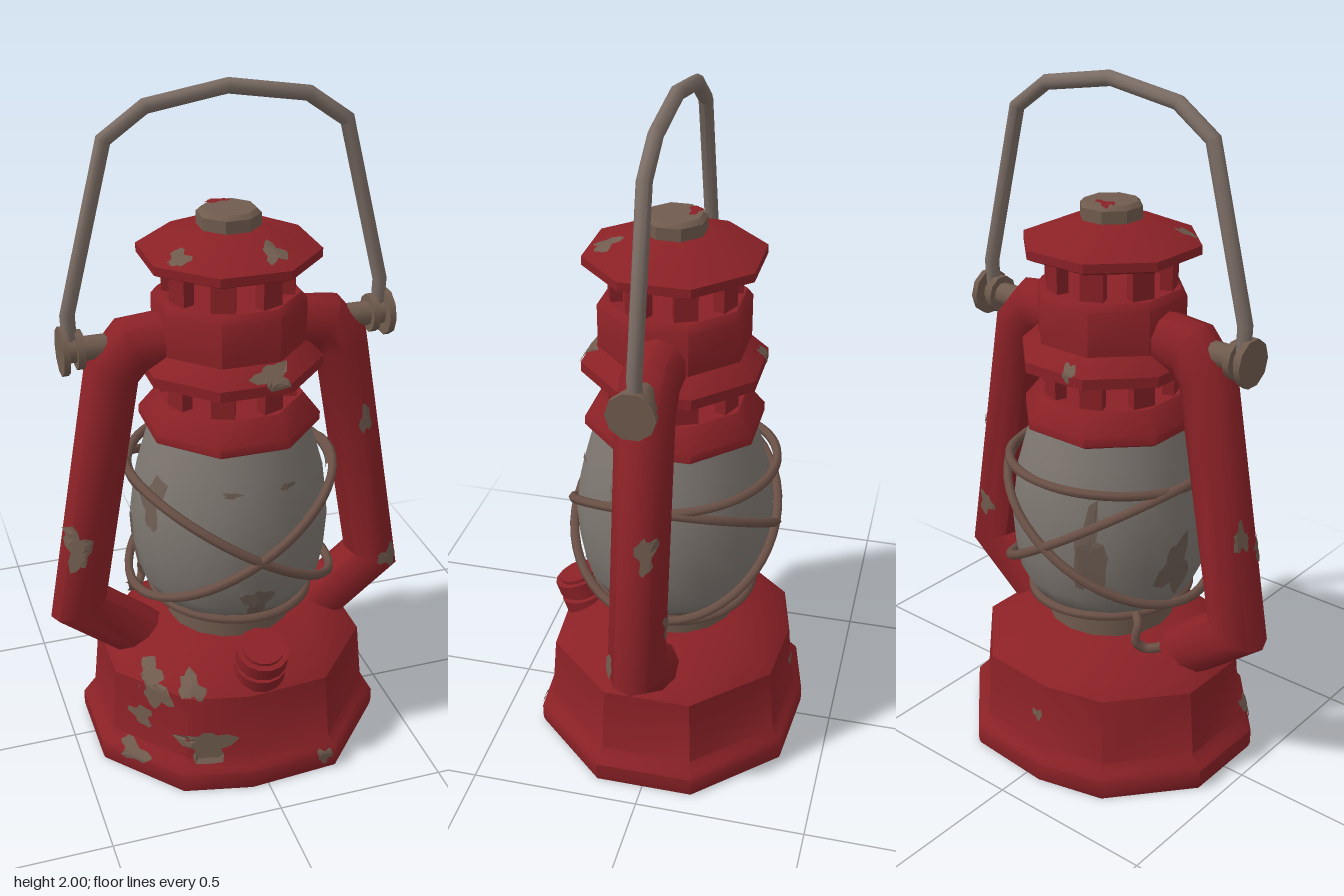
import * as THREE from 'three';
import { toCreasedNormals } from 'three/addons/utils/BufferGeometryUtils.js';

const V = (x, y, z) => new THREE.Vector3(x, y, z);
const mat = (name, color) => new THREE.MeshStandardMaterial({ name, color });

// Closed skin over a list of rings (each counter-clockwise seen from the last ring's end)
function loft(rings, crease = 0.7) {
  const p = [];
  const tri = (...vs) => vs.forEach(v => p.push(v.x, v.y, v.z));
  const n = rings[0].length;
  for (let i = 0; i + 1 < rings.length; i++) {
    for (let j = 0; j < n; j++) {
      const k = (j + 1) % n, a = rings[i], b = rings[i + 1];
      tri(a[j], a[k], b[k]);
      tri(a[j], b[k], b[j]);
    }
  }
  const first = rings[0], last = rings[rings.length - 1];
  for (let j = 1; j + 1 < n; j++) {
    tri(first[0], first[j + 1], first[j]);
    tri(last[0], last[j], last[j + 1]);
  }
  const g = new THREE.BufferGeometry();
  g.setAttribute('position', new THREE.Float32BufferAttribute(p, 3));
  return toCreasedNormals(g, crease);
}

// Octagonal turned part from [y, half width across flats]
function octagon(profile) {
  return loft(profile.map(([y, w]) => Array.from({ length: 8 }, (_, i) => {
    const a = (i + 0.5) * Math.PI / 4, r = w / Math.cos(Math.PI / 8);
    return V(r * Math.cos(a), y, -r * Math.sin(a));
  })));
}

// Round bar with mitred corners along a path in the xy plane
function bar(points, r, sides, z = 0) {
  const pts = points.map(([x, y]) => new THREE.Vector2(x, y));
  return loft(pts.map((c, i) => {
    const d1 = pts[Math.max(i, 1)].clone().sub(pts[Math.max(i, 1) - 1]).normalize();
    const e = Math.min(i + 1, pts.length - 1);
    const d2 = pts[e].clone().sub(pts[e - 1]).normalize();
    const t = d1.clone().add(d2).normalize(), m = r / t.dot(d1);
    return Array.from({ length: sides }, (_, k) => {
      const a = k / sides * Math.PI * 2;
      return V(c.x - t.y * m * Math.cos(a), c.y + t.x * m * Math.cos(a), z + r * Math.sin(a));
    });
  }), 0.85);
}

// Irregular thin flake laid on a mesh, cast from direction `out` at offset (a, b), size w by h
function flake(target, out, a, b, w, h, seed) {
  const up = out.y > 0.5 ? V(0, 0, -1) : V(0, 1, 0);
  const u = up.clone().cross(out).normalize();
  const ray = new THREE.Raycaster();
  const hit = (r, t) => {
    const edge = r * (0.8 + 0.2 * Math.sin(3 * t + seed) + 0.17 * Math.sin(5 * t + seed * 2.3));
    const o = u.clone().multiplyScalar(a + edge * w / 2 * Math.cos(t))
      .addScaledVector(up, b + edge * h / 2 * Math.sin(t)).addScaledVector(out, 3);
    ray.set(o, out.clone().negate());
    const f = ray.intersectObject(target)[0];
    return f ? { p: f.point.clone().addScaledVector(f.face.normal, 0.005), d: f.distance } : null;
  };
  const p = [], N = 18, R = 4;
  const tri = (...hs) => {
    if (hs.some(q => !q)) return;
    const d = hs.map(q => q.d);
    if (Math.max(...d) - Math.min(...d) < 0.08) hs.forEach(q => p.push(q.p.x, q.p.y, q.p.z));
  };
  for (let i = 0; i < R; i++) {
    for (let j = 0; j < N; j++) {
      const t0 = j / N * Math.PI * 2, t1 = (j + 1) / N * Math.PI * 2;
      const A = hit(i / R, t0), B = hit((i + 1) / R, t0), C = hit((i + 1) / R, t1), D = hit(i / R, t1);
      tri(A, B, C);
      if (i) tri(A, C, D);
    }
  }
  const g = new THREE.BufferGeometry();
  g.setAttribute('position', new THREE.Float32BufferAttribute(p, 3));
  g.computeVertexNormals();
  return g;
}

export function createModel() {
  const lantern = new THREE.Group();
  lantern.name = 'lantern';
  const red = mat('red paint', 0x8a2126), rust = mat('bare rusty metal', 0x705b4e);
  const steel = mat('handle steel', 0x7b6d65), glassMat = mat('dusty glass', 0x7d7670);
  const wireMat = mat('guard wire', 0x6b5147), stain = mat('glass stain', 0x6c5c52);
  const add = (name, geo, m) => {
    const mesh = new THREE.Mesh(geo, m);
    mesh.name = name;
    lantern.add(mesh);
    return mesh;
  };

  // Ten-sided fuel tank with a flared foot
  const outline = [[0.43, 0.14], [0.43, -0.15], [0.21, -0.38], [-0.05, -0.4], [-0.25, -0.35],
    [-0.44, -0.13], [-0.44, 0.13], [-0.25, 0.35], [-0.05, 0.395], [0.22, 0.375]];
  const tank = add('tank', loft([[0, 0.99], [0.015, 1], [0.06, 1], [0.075, 0.97], [0.1, 0.92],
    [0.3, 0.88], [0.33, 0.8], [0.4, 0.52]].map(([y, s]) => outline.map(([x, z]) => V(x * s, y, z * s)))), red);

  // Burner collar and glass globe
  add('burnerCollar', new THREE.CylinderGeometry(0.19, 0.19, 0.11, 16).translate(0, 0.435, 0), rust);
  add('collarRim', new THREE.CylinderGeometry(0.215, 0.2, 0.025, 16).translate(0, 0.485, 0), rust);
  const globeProfile = [[0.19, 0.48], [0.24, 0.51], [0.27, 0.56], [0.285, 0.65], [0.292, 0.75],
    [0.278, 0.86], [0.25, 0.96], [0.22, 1.05]].map(([r, y]) => new THREE.Vector2(r, y));
  const globe = add('globe', new THREE.LatheGeometry(globeProfile, 18), glassMat);

  // Chimney: three octagonal sections with open vents between them
  add('chimneyFlange', octagon([[1.025, 0.225], [1.035, 0.24], [1.06, 0.24], [1.12, 0.195]]), red);
  const hood = add('chimneyHood', octagon([[1.19, 0.2], [1.205, 0.245], [1.235, 0.245], [1.28, 0.2],
    [1.405, 0.2], [1.425, 0.185]]), red);
  const cap = add('chimneyCap', octagon([[1.515, 0.215], [1.525, 0.235], [1.55, 0.235], [1.61, 0.1]]), red);
  const knob = add('capKnob', octagon([[1.59, 0.082], [1.645, 0.082], [1.657, 0.07]]), rust);
  for (const [y, h, r] of [[1.155, 0.09, 0.175], [1.47, 0.11, 0.165]]) {
    for (let i = 0; i < 8; i++) {
      const post = add('ventPost', new THREE.BoxGeometry(0.035, h, 0.065), red);
      const a = (i + 0.5) * Math.PI / 4;
      post.position.set(r * Math.cos(a), y, -r * Math.sin(a));
      post.rotation.y = a;
    }
  }

  // Side tubes, handle pivots
  const tubes = {};
  for (const s of [-1, 1]) {
    const path = [[0.17, 1.305], [0.28, 1.295], [0.335, 1.23], [0.462, 0.49], [0.24, 0.315]].map(([x, y]) => [s * x, y]);
    tubes[s] = add('sideTube', bar(path, 0.08, 10), red);
    for (const [r, w, x] of [[0.035, 0.13, 0.395], [0.055, 0.02, 0.425], [0.068, 0.018, 0.468]]) {
      add('handlePivot', new THREE.CylinderGeometry(r, r, w, 10).rotateZ(Math.PI / 2).translate(s * x, 1.3, 0), rust);
    }
  }

  // Carrying handle
  add('handle', bar([[-0.446, 1.27], [-0.45, 1.4], [-0.333, 1.865], [-0.222, 1.943], [0, 1.979],
    [0.222, 1.943], [0.333, 1.865], [0.45, 1.4], [0.446, 1.27]], 0.021, 8, -0.005), steel);

  // Tilted filler cap at the front of the tank
  const filler = new THREE.Group();
  filler.name = 'fillerCap';
  filler.position.set(0.005, 0.375, 0.29);
  filler.rotation.x = 0.33;
  for (const [r, h, y] of [[0.06, 0.14, -0.03], [0.077, 0.045, -0.025], [0.077, 0.045, 0.035], [0.06, 0.012, 0.062]]) {
    const ring = new THREE.Mesh(new THREE.CylinderGeometry(r, r, h, 14).translate(0, y, 0), red);
    ring.name = 'fillerRing';
    filler.add(ring);
  }
  lantern.add(filler);

  // Wire guard: two crossing hoops, a back arc, a low ring and a hooked end
  const wire = (name, pts, closed) => add(name, new THREE.TubeGeometry(
    new THREE.CatmullRomCurve3(pts, closed), 48, 0.014, 6, closed), wireMat);
  const hoop = (r, height, from = 0, sweep = Math.PI * 2, n = 16) => Array.from({ length: n }, (_, i) => {
    const a = from + sweep * i / (sweep > 6 ? n : n - 1);
    return V(r * Math.cos(a), height(Math.cos(a), Math.sin(a)), r * Math.sin(a));
  });
  wire('guardHoop', hoop(0.302, c => 0.72 + 0.18 * c), true);
  wire('guardHoop', hoop(0.302, c => 0.72 - 0.19 * c), true);
  wire('guardBackArc', hoop(0.295, (c, s) => 0.895 - 0.022 * s, Math.PI * 0.87, Math.PI * 1.26), false);
  wire('guardLowRing', hoop(0.235, c => 0.49 - 0.01 * c), true);
  wire('guardHook', [V(-0.2, 0.5, -0.13), V(-0.23, 0.49, -0.16), V(-0.23, 0.44, -0.17),
    V(-0.25, 0.415, -0.15), V(-0.29, 0.425, -0.13)], false);

  // Chipped paint and stains
  lantern.updateMatrixWorld(true);
  const F = V(0, 0, 1), B = V(0, 0, -1), L = V(1, 0, 0), R = V(-1, 0, 0), T = V(0, 1, 0);
  [
    [tank, F, -0.17, 0.14, 0.17, 0.13], [tank, F, -0.29, 0.28, 0.08, 0.1], [tank, F, -0.2, 0.32, 0.08, 0.06],
    [tank, F, -0.33, 0.19, 0.06, 0.08], [tank, F, 0.18, 0.05, 0.06, 0.05], [tank, F, -0.36, 0.07, 0.08, 0.06],
    [tank, T, -0.3, -0.18, 0.08, 0.11], [tank, B, 0.02, 0.2, 0.05, 0.04],
    [tubes[-1], F, -0.47, 0.71, 0.08, 0.16], [tubes[1], F, 0.39, 1, 0.04, 0.11],
    [tubes[1], F, 0.49, 0.51, 0.08, 0.08], [tubes[1], L, 0.03, 0.88, 0.06, 0.13],
    [tubes[1], B, -0.44, 0.63, 0.06, 0.09], [tubes[-1], R, -0.03, 0.8, 0.05, 0.1],
    [hood, F, 0.05, 1.25, 0.12, 0.07], [hood, B, 0.05, 1.24, 0.05, 0.05],
    [cap, T, 0.07, -0.17, 0.08, 0.09], [cap, T, -0.17, -0.11, 0.07, 0.08]
  ].forEach(([m, d, a, b, w, h], i) => add('chippedPaint', flake(m, d, a, b, w, h, i * 1.7), rust));
  add('knobPaint', flake(knob, T, -0.02, 0.05, 0.08, 0.04, 2), red);
  [[F, 0, 0.57, 0.1, 0.12], [F, -0.07, 0.92, 0.06, 0.02], [F, 0.09, 0.92, 0.06, 0.02],
    [B, 0.13, 0.72, 0.1, 0.3], [R, -0.05, 0.65, 0.13, 0.22], [R, 0.1, 0.85, 0.1, 0.2], [L, 0, 0.66, 0.1, 0.2]
  ].forEach(([d, a, b, w, h], i) => add('glassStain', flake(globe, d, a, b, w, h, i), stain));
  return lantern;
}
